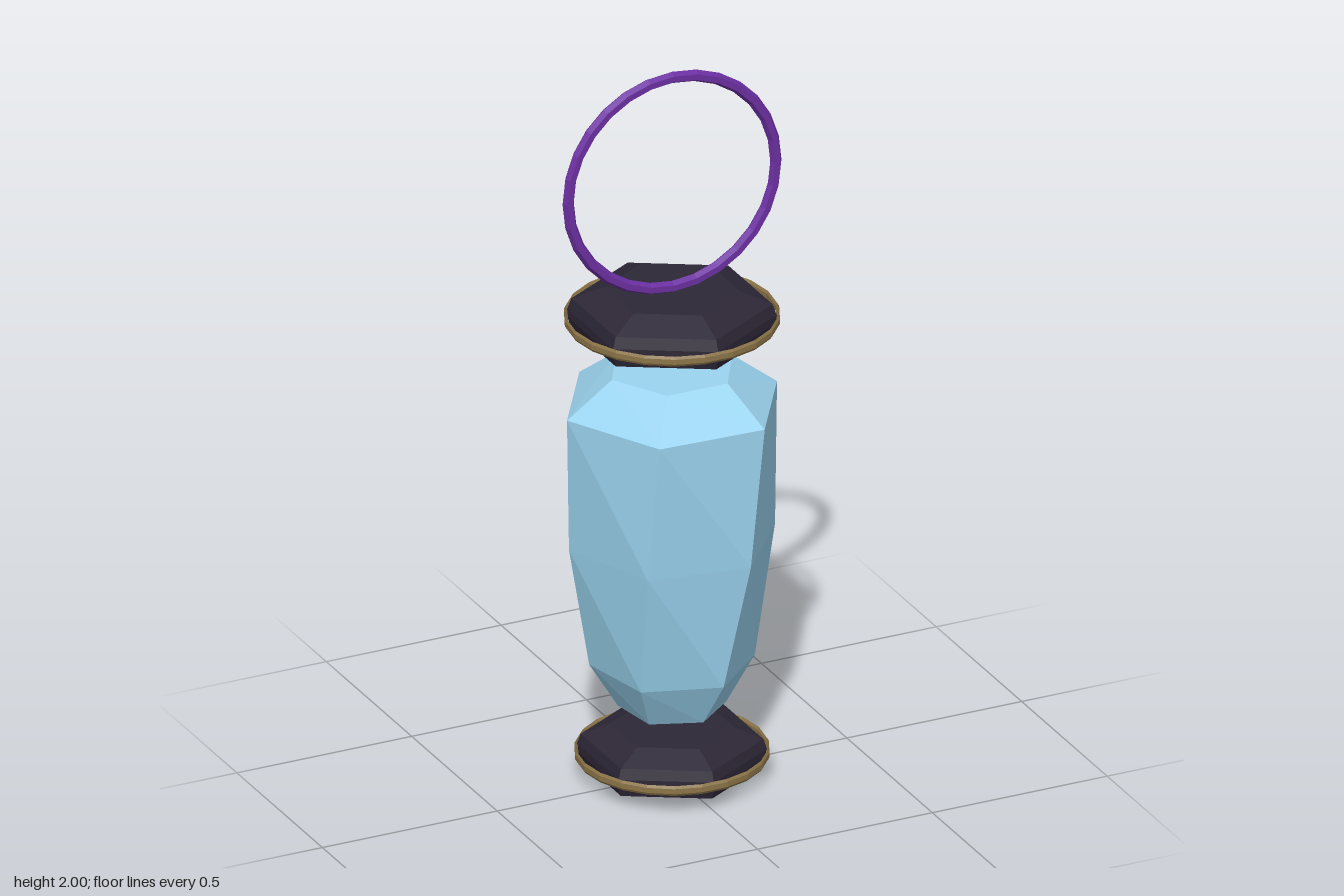
import * as THREE from 'three';

const paint = (color) => new THREE.MeshStandardMaterial({ color, flatShading: true });

// Six-sided solid from rings [radius, y, turn in degrees], listed bottom to top
function hexLoft(rings) {
  const corner = ([r, y, turn], i) => {
    const a = THREE.MathUtils.degToRad(turn + i * 60);
    return [r * Math.cos(a), y, r * Math.sin(a)];
  };
  const pos = [];
  for (let j = 0; j < rings.length - 1; j++) {
    const low = rings[j], high = rings[j + 1];
    for (let i = 0; i < 6; i++) {
      const a = corner(low, i), b = corner(high, i);
      const c = corner(high, i + 1), d = corner(low, i + 1);
      if (high[0] > 0) pos.push(...a, ...b, ...c);
      if (low[0] > 0) pos.push(...a, ...c, ...d);
    }
  }
  const geo = new THREE.BufferGeometry();
  geo.setAttribute('position', new THREE.Float32BufferAttribute(pos, 3));
  geo.computeVertexNormals();
  return geo;
}

export function createModel() {
  const model = new THREE.Group();
  model.name = 'crystalCharm';
  const dark = paint(0x2d2736);
  const gold = paint(0x8c7548);

  const add = (name, geo, material, y = 0, parent = model) => {
    const mesh = new THREE.Mesh(geo, material);
    mesh.name = name;
    mesh.position.y = y;
    parent.add(mesh);
    return mesh;
  };

  // Twisted crystal body with chamfered ends
  add('crystal', hexLoft([
    [0, 0.205, 21], [0.14, 0.205, 21], [0.215, 0.33, 18],
    [0.277, 0.68, 9], [0.295, 1.065, 2.2], [0.172, 1.16, 0], [0, 1.16, 0],
  ]), paint(0x9bd4f0));

  // Bevelled hexagonal cap with a thin metal band around its waist
  function cap(name, y, radius, half, bandRadius) {
    const group = new THREE.Group();
    group.name = name;
    group.position.y = y;
    model.add(group);
    const profile = [[0, -1], [0.65, -1], [0.96, -0.55], [1, -0.15], [1, 0.15], [0.96, 0.55], [0.65, 1], [0, 1]];
    add(name + 'Body', hexLoft(profile.map(([r, h]) => [r * radius, h * half, 30])), dark, 0, group);

    // Band section is a flattened hexagon
    const section = [];
    for (let i = 0; i <= 6; i++) {
      const a = (i / 6) * Math.PI * 2 + Math.PI / 2;
      section.push(new THREE.Vector2(bandRadius + 0.005 * Math.cos(a), -0.014 * Math.sin(a)));
    }
    section.reverse();
    const band = add(name + 'Band', new THREE.LatheGeometry(section, 22), gold, 0, group);
    band.material.side = THREE.DoubleSide;
    band.rotation.y = Math.PI / 2;
  }
  cap('topCap', 1.306, 0.27, 0.076, 0.275);
  cap('bottomCap', 0.073, 0.245, 0.07, 0.248);

  // Hanging ring
  add('hangingRing', new THREE.TorusGeometry(0.297, 0.016, 6, 28), paint(0x6c30a2), 1.687);

  return model;
}
